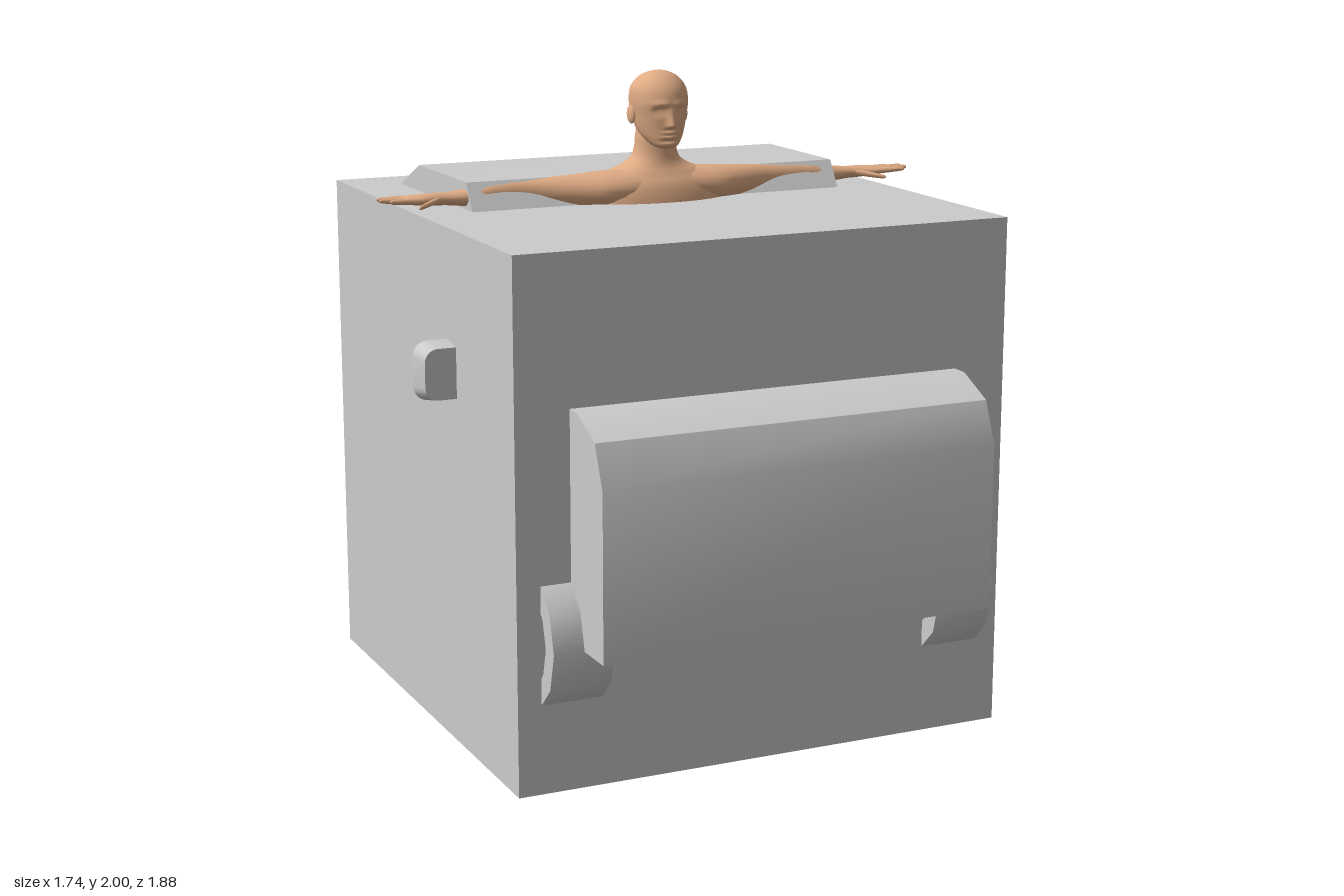
import * as THREE from 'three';
import { toCreasedNormals } from 'three/addons/utils/BufferGeometryUtils.js';

const grey = new THREE.MeshStandardMaterial({ color: 0xcccccc });
grey.name = 'plain grey';
const skin = new THREE.MeshStandardMaterial({ color: 0xe0ac85 });
skin.name = 'skin';

// Extrude a (z, y) outline across x, centred on the given x
function extrudeAcross(shape, width, x = 0) {
  const g = new THREE.ExtrudeGeometry(shape, { depth: width, bevelEnabled: false, curveSegments: 8 });
  g.rotateY(-Math.PI / 2);
  g.translate(x + width / 2, 0, 0);
  return toCreasedNormals(g, 0.6);
}

// Insert Catmull-Rom steps between rows of numbers
function smooth(rows, steps) {
  const out = [];
  for (let i = 0; i < rows.length - 1; i++) {
    const p = [rows[Math.max(i - 1, 0)], rows[i], rows[i + 1], rows[Math.min(i + 2, rows.length - 1)]];
    for (let k = 0; k < steps; k++) {
      const t = k / steps;
      out.push(rows[i].map((_, c) => {
        const [a, b, d, e] = p.map((r) => r[c]);
        return b + 0.5 * t * (d - a + t * (2 * a - 5 * b + 4 * d - e + t * (3 * (b - d) + e - a)));
      }));
    }
  }
  out.push(rows[rows.length - 1]);
  return out;
}

// Skin a closed surface over rings; point(row, angle) gives [x, y, z]
function loft(rows, sides, point) {
  const pos = [], index = [], last = rows.length - 1;
  for (const row of rows) {
    for (let j = 0; j < sides; j++) pos.push(...point(row, (j / sides) * Math.PI * 2));
  }
  for (let i = 0; i < last; i++) {
    for (let j = 0; j < sides; j++) {
      const k = (j + 1) % sides;
      const a = i * sides + j, b = i * sides + k, c = b + sides, d = a + sides;
      index.push(a, b, c, a, c, d);
    }
  }
  for (let j = 1; j < sides - 1; j++) {
    index.push(0, j + 1, j, last * sides, last * sides + j, last * sides + j + 1);
  }
  const g = new THREE.BufferGeometry();
  g.setAttribute('position', new THREE.Float32BufferAttribute(pos, 3));
  g.setIndex(index);
  g.computeVertexNormals();
  return g;
}

// Upright rings: [y, half width, front z, back z]
const upright = ([y, w, f, b], t) => [w * Math.sin(t), y, (f + b) / 2 + ((f - b) / 2) * Math.cos(t)];
// Sideways rings: [x, y, half height, z, half depth]
const sideways = (s) => ([x, y, h, z, d], t) => [s * x, y + h * Math.cos(t), z + s * d * Math.sin(t)];

const bump = (v, centre, size) => Math.exp(-(((v - centre) / size) ** 2));

// Relief of the face: nose, brows, eye sockets, lips and chin
function faceRelief(x, y) {
  const ax = Math.abs(x);
  const nose = y > 1.842 ? Math.max(0, 1 - (y - 1.842) / 0.055) : Math.max(0, 1 - (1.842 - y) / 0.01);
  return 0.022 * nose * bump(x, 0, 0.013)
    + 0.005 * bump(y, 1.907, 0.008) * bump(ax, 0.03, 0.025)
    - 0.009 * bump(y, 1.886, 0.012) * bump(ax, 0.034, 0.016)
    + 0.004 * bump(y, 1.884, 0.006) * bump(ax, 0.034, 0.01)
    + 0.006 * (bump(y, 1.822, 0.005) + bump(y, 1.809, 0.005)) * bump(x, 0, 0.022)
    - 0.005 * bump(y, 1.797, 0.006) * bump(x, 0, 0.03);
}

export function createModel() {
  const model = new THREE.Group();
  model.name = 'model';
  const add = (name, geometry, material, parent = model) => {
    const m = new THREE.Mesh(geometry, material);
    m.name = name;
    parent.add(m);
    return m;
  };

  // Large cube
  add('cube', new THREE.BoxGeometry(1.52, 1.515, 1.51), grey).position.set(0, 0.8575, -0.035);

  // Car body running through the cube
  const profile = [
    [0.94, 0.53], [0.94, 1.01], [0.89, 1.13], [0.77, 1.185], [0.26, 1.2], [0, 1.615], [-0.05, 1.695],
    [-0.46, 1.695], [-0.79, 1.545], [-0.94, 1.19], [-0.94, 0.53],
  ].map(([z, y]) => new THREE.Vector2(z, y));
  add('carBody', extrudeAcross(new THREE.Shape(profile), 1.2), grey);

  // Twelve-sided ring wheels
  const ring = (r) => Array.from({ length: 12 }, (_, i) =>
    new THREE.Vector2(r * Math.cos((i * Math.PI) / 6), r * Math.sin((i * Math.PI) / 6)));
  const wheelShape = new THREE.Shape(ring(0.215));
  wheelShape.holes.push(new THREE.Path(ring(0.157)));
  for (const x of [-0.6, 0.6]) {
    for (const z of [0.597, -0.662]) {
      add('wheel', extrudeAcross(wheelShape, 0.18, x), grey).position.set(0, 0.53, z);
    }
  }

  // Side mirrors: rounded blocks that taper towards the front
  const w = 0.086, h = 0.086, r = 0.045;
  const mirrorShape = new THREE.Shape();
  mirrorShape.absarc(w - r, h - r, r, 0, Math.PI / 2);
  mirrorShape.absarc(r - w, h - r, r, Math.PI / 2, Math.PI);
  mirrorShape.absarc(r - w, r - h, r, Math.PI, Math.PI * 1.5);
  mirrorShape.absarc(w - r, r - h, r, Math.PI * 1.5, Math.PI * 2);
  const mirror = new THREE.ExtrudeGeometry(mirrorShape, { depth: 0.07, bevelEnabled: false, curveSegments: 6 });
  const mp = mirror.attributes.position;
  for (let i = 0; i < mp.count; i++) {
    const s = mp.getZ(i) > 0.03 ? 0.86 : 1;
    mp.setXY(i, mp.getX(i) * s, mp.getY(i) * s);
  }
  const mirrorGeometry = toCreasedNormals(mirror, 0.6);
  for (const s of [-1, 1]) {
    add(s > 0 ? 'leftMirror' : 'rightMirror', mirrorGeometry, grey).position.set(s * 0.779, 1.21, 0.21);
  }

  // Ball showing under the cube
  add('ball', new THREE.SphereGeometry(0.285, 48, 32), skin).position.set(0, 0.29, -0.03);

  // Figure rising from the top
  const figure = new THREE.Group();
  figure.name = 'figure';
  model.add(figure);

  const torso = [
    [1.5, 0.2, 0.08, -0.12], [1.6, 0.22, 0.074, -0.13], [1.66, 0.205, 0.06, -0.132],
    [1.695, 0.165, 0.038, -0.128], [1.717, 0.11, 0.025, -0.12], [1.74, 0.076, 0.018, -0.108],
    [1.77, 0.065, 0.014, -0.098], [1.8, 0.062, 0.012, -0.095], [1.83, 0.058, 0, -0.088],
  ];
  add('torsoAndNeck', loft(smooth(torso, 5), 40, upright), skin, figure);

  const headRows = [
    [1.773, 0.016, 0.052, 0.02], [1.779, 0.034, 0.065, 0], [1.79, 0.047, 0.071, -0.03],
    [1.81, 0.062, 0.07, -0.06], [1.835, 0.073, 0.071, -0.088], [1.87, 0.081, 0.074, -0.105],
    [1.91, 0.087, 0.076, -0.112], [1.95, 0.082, 0.064, -0.105], [1.98, 0.059, 0.038, -0.08],
    [1.995, 0.03, 0.01, -0.047], [2, 0.003, -0.015, -0.021],
  ];
  const head = loft(smooth(headRows, 8), 96, (row, t) => {
    const [x, y, z] = upright(row, t);
    return [x, y, Math.cos(t) > 0 ? z + faceRelief(x, y) * Math.min(1, Math.cos(t) * 2) : z];
  });
  add('head', head, skin, figure);

  // Arms and hands
  const arm = [
    [0.06, 1.655, 0.058, -0.035, 0.085], [0.18, 1.65, 0.056, -0.036, 0.08], [0.27, 1.65, 0.05, -0.042, 0.056],
    [0.38, 1.652, 0.041, -0.056, 0.035], [0.48, 1.656, 0.035, -0.062, 0.033], [0.54, 1.655, 0.032, -0.062, 0.034],
    [0.6, 1.65, 0.025, -0.065, 0.034], [0.66, 1.65, 0.019, -0.064, 0.026], [0.7, 1.651, 0.018, -0.062, 0.028],
    [0.75, 1.652, 0.015, -0.06, 0.038], [0.785, 1.654, 0.01, -0.06, 0.036], [0.795, 1.655, 0.003, -0.06, 0.025],
  ];
  // Fingers: base x, base z, tip x, tip z, tip y
  const fingers = [
    [0.75, -0.09, 0.83, -0.102, 1.655], [0.76, -0.07, 0.865, -0.075, 1.658],
    [0.76, -0.05, 0.868, -0.044, 1.658], [0.75, -0.033, 0.845, -0.016, 1.657],
    [0.68, -0.05, 0.765, 0.01, 1.638],
  ];
  for (const s of [-1, 1]) {
    const side = s > 0 ? 'left' : 'right';
    add(side + 'Arm', loft(smooth(arm, 5), 24, sideways(s)), skin, figure);
    for (const [x0, z0, x1, z1, y1] of fingers) {
      const rows = [[0, 0.011], [0.5, 0.01], [0.9, 0.008], [0.98, 0.005], [1, 0.001]].map(([t, q]) =>
        [x0 + (x1 - x0) * t, 1.652 + (y1 - 1.652) * t, q * 0.85, z0 + (z1 - z0) * t, q]);
      add(side + 'Finger', loft(rows, 10, sideways(s)), skin, figure);
    }
    // Ear
    const ear = add(side + 'Ear', new THREE.SphereGeometry(1, 16, 12), skin, figure);
    ear.scale.set(0.009, 0.028, 0.017);
    ear.position.set(s * 0.087, 1.872, -0.022);
    ear.rotation.set(-0.2, s * -0.3, 0);
  }
  return model;
}
